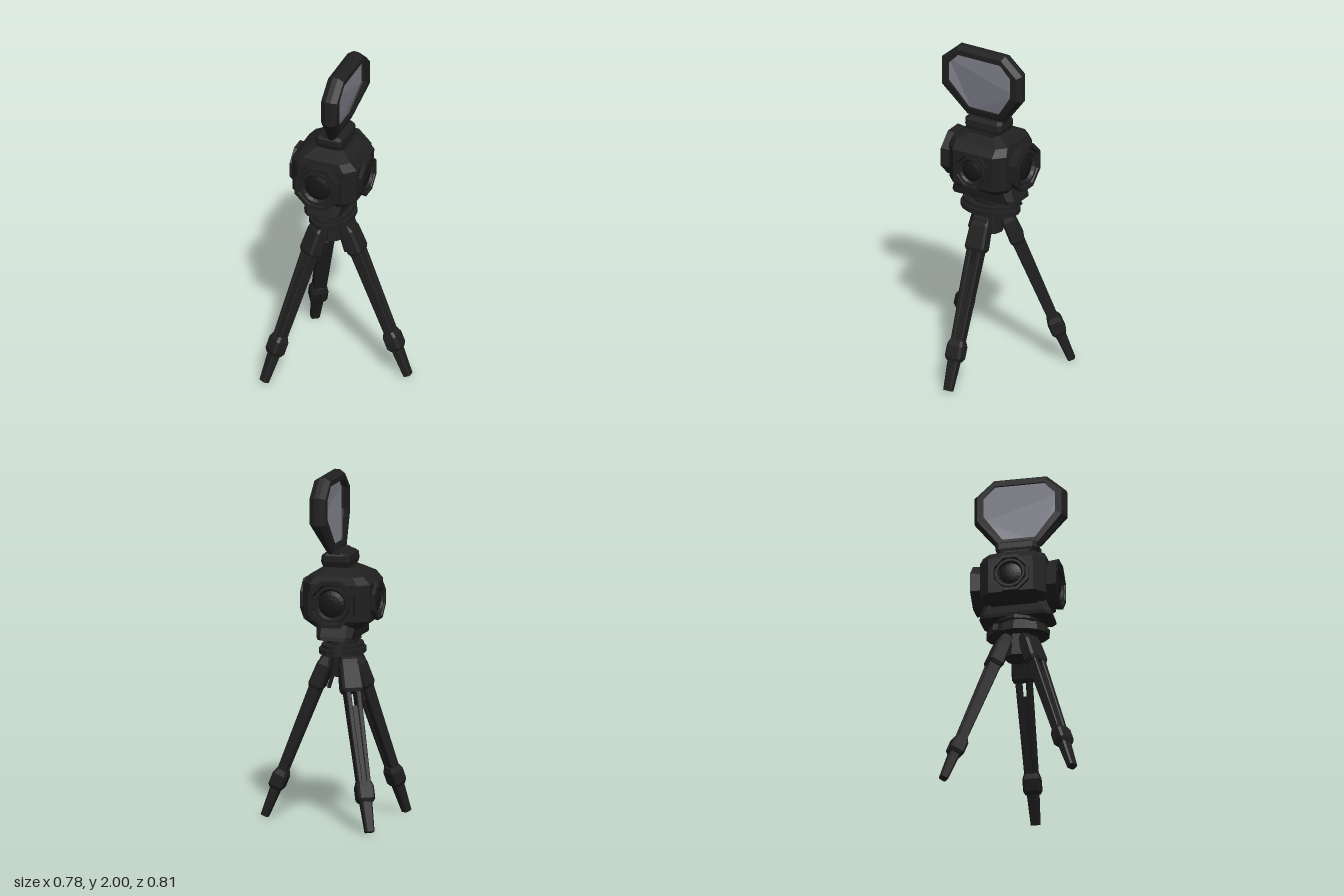
import * as THREE from 'three';

const mat = (name, color) => Object.assign(
  new THREE.MeshStandardMaterial({ color, flatShading: true, side: THREE.DoubleSide }), { name });

const CX = -0.09; // axis of the tripod and head

// Chamfered block lofted through levels of [y, half x, half z, chamfer]
function loft(levels) {
  const rings = levels.map(([y, a, b, c]) => [
    [a, b - c], [a - c, b], [c - a, b], [-a, b - c],
    [-a, c - b], [c - a, -b], [a - c, -b], [a, c - b],
  ].map(([x, z]) => [x, y, z]));
  const pos = [];
  const tri = (...pts) => pts.forEach(p => pos.push(...p));
  for (let k = 0; k < rings.length - 1; k++) {
    for (let i = 0; i < 8; i++) {
      const j = (i + 1) % 8, lo = rings[k], up = rings[k + 1];
      tri(lo[i], up[i], up[j]);
      tri(lo[i], up[j], lo[j]);
    }
  }
  const bottom = rings[0], top = rings[rings.length - 1];
  for (let i = 1; i < 7; i++) {
    tri(bottom[0], bottom[i], bottom[i + 1]);
    tri(top[0], top[i + 1], top[i]);
  }
  const g = new THREE.BufferGeometry();
  g.setAttribute('position', new THREE.Float32BufferAttribute(pos, 3));
  g.computeVertexNormals();
  return g;
}

// Eight-sided outline in (z, y), mirrored from its +z half
function outline(half, PathType) {
  const pts = [...half, ...half.slice().reverse().map(([z, y]) => [-z, y])];
  return new PathType(pts.map(p => new THREE.Vector2(...p)));
}

// Turn an extrusion to face x, then lean and thin its lower end
function leanPanel(g) {
  g.rotateY(-Math.PI / 2);
  const p = g.attributes.position;
  for (let i = 0; i < p.count; i++) {
    const t = THREE.MathUtils.clamp((1.75 - p.getY(i)) / 0.18, 0, 1);
    p.setX(i, p.getX(i) * (1 - 0.42 * t) - 0.012 - 0.04 * t);
  }
  g.computeVertexNormals();
  return g;
}

export function createModel() {
  const black = mat('black casing', 0x202021);
  const dark = mat('dark glass', 0x161618);
  const grey = mat('grey panel', 0x80808b);

  const model = new THREE.Group();
  model.name = 'tripodDevice';
  const add = (parent, name, g, m, x = 0, y = 0, z = 0) => {
    const mesh = new THREE.Mesh(g, m);
    mesh.name = name;
    mesh.position.set(x, y, z);
    parent.add(mesh);
    return mesh;
  };

  // Tripod legs
  [0, 2.19, -2.19].forEach((angle, i) => {
    const arm = new THREE.Group();
    arm.name = 'leg' + (i + 1);
    arm.position.set(CX, 0.93, 0);
    arm.rotation.y = angle;
    const leg = new THREE.Group();
    leg.name = 'legParts';
    leg.position.x = 0.09;
    leg.rotation.z = 0.383;
    arm.add(leg);
    model.add(arm);
    const hinge = add(leg, 'hingePin', new THREE.CylinderGeometry(0.035, 0.035, 0.09, 10), black);
    hinge.rotation.x = Math.PI / 2;
    add(leg, 'hingeBlock', loft([[-0.18, 0.035, 0.055, 0.012], [-0.16, 0.043, 0.063, 0.012],
      [-0.03, 0.04, 0.058, 0.012], [0.02, 0.025, 0.045, 0.01]]), black);
    for (const s of [-1, 1]) {
      const rail = add(leg, 'rail', loft([[-0.74, 0.027, 0.013, 0.005], [-0.15, 0.035, 0.015, 0.005]]),
        black, 0, 0, s * 0.032);
      rail.rotation.x = s * 0.01;
    }
    add(leg, 'innerTube', loft([[-0.74, 0.022, 0.026, 0.006], [-0.26, 0.024, 0.028, 0.006]]), black);
    add(leg, 'clamp', loft([[-0.82, 0.034, 0.04, 0.012], [-0.8, 0.043, 0.05, 0.012],
      [-0.73, 0.043, 0.05, 0.012], [-0.7, 0.032, 0.042, 0.012]]), black);
    add(leg, 'foot', loft([[-0.993, 0.022, 0.026, 0.008], [-0.8, 0.03, 0.034, 0.01]]), black);
  });

  // Hub, mounting plates and small side lever
  add(model, 'hub', new THREE.CylinderGeometry(0.06, 0.075, 0.14, 10), black, CX, 0.91);
  const plate = (name, r, h, y, zScale) =>
    add(model, name, new THREE.CylinderGeometry(r, r, h, 16), black, CX, y).scale.z = zScale;
  plate('lowerPlate', 0.13, 0.03, 0.99, 1.42);
  plate('swivelPlate', 0.115, 0.018, 1.02, 1.5);
  plate('swivelNeck', 0.085, 0.05, 1.045, 1.2);
  plate('upperPlate', 0.105, 0.022, 1.065, 1.15);
  const lever = new THREE.CatmullRomCurve3([[-0.07, 0.92, 0.02], [-0.03, 0.85, 0.02], [0, 0.76, 0.02]]
    .map(p => new THREE.Vector3(...p)));
  add(model, 'lever', new THREE.TubeGeometry(lever, 6, 0.012, 5), black);
  const tab = add(model, 'plateTab', new THREE.BoxGeometry(0.012, 0.06, 0.03), black, -0.23, 0.985, -0.1);
  tab.rotation.z = -0.5;

  // Head casing
  add(model, 'casingBase', loft([[1.07, 0.1, 0.21, 0.03], [1.09, 0.105, 0.205, 0.03],
    [1.16, 0.115, 0.18, 0.04]]), black, CX);
  add(model, 'casing', loft([[1.13, 0.13, 0.16, 0.05], [1.18, 0.195, 0.19, 0.06],
    [1.39, 0.2, 0.19, 0.06], [1.435, 0.16, 0.18, 0.05], [1.475, 0.09, 0.1, 0.03]]), black, CX);
  add(model, 'topNeck', loft([[1.46, 0.085, 0.08, 0.02], [1.5, 0.08, 0.1, 0.02]]), black, -0.075);
  add(model, 'topBlock', loft([[1.485, 0.08, 0.11, 0.02], [1.51, 0.085, 0.12, 0.02],
    [1.545, 0.08, 0.12, 0.02], [1.56, 0.06, 0.11, 0.02]]), black, -0.075);

  // Four lens housings around the casing
  const lathe = (pts, n, start = 0) => new THREE.LatheGeometry(
    pts.map(p => new THREE.Vector2(...p)), n, start).rotateX(Math.PI / 2);
  for (let k = 0; k < 4; k++) {
    const side = k % 2 === 1;
    const turn = new THREE.Group();
    turn.name = 'lensUnit' + (k + 1);
    turn.position.set(CX, 1.285, 0);
    turn.rotation.y = k * Math.PI / 2;
    model.add(turn);
    const unit = new THREE.Group();
    unit.name = 'lensParts';
    unit.position.z = side ? 0.222 : 0.25;
    unit.scale.setScalar(side ? 0.82 : 1);
    turn.add(unit);
    add(unit, 'lensHousing', lathe([[0.13, -0.1], [0.138, -0.05], [0.145, 0], [0.122, 0],
      [0.112, -0.025], [0, -0.025]], 8, Math.PI / 8), black);
    add(unit, 'lensRing', lathe([[0.108, -0.03], [0.105, -0.004], [0.09, -0.004], [0.078, -0.022]], 20), black);
    add(unit, 'lensGlass', lathe([[0.078, -0.022], [0.055, -0.012], [0.03, -0.007], [0, -0.005]], 16), dark);
  }

  // Hinge of the tilted screen
  const pin = add(model, 'screenHinge', new THREE.CylinderGeometry(0.038, 0.038, 0.23, 10), black, -0.08, 1.535);
  pin.rotation.x = Math.PI / 2;
  add(model, 'hingeTongue', loft([[1.53, 0.028, 0.11, 0.01], [1.6, 0.022, 0.11, 0.01]]), black, -0.058);

  // Screen frame and panel
  const shape = outline([[0.145, 1.98], [0.247, 1.89], [0.247, 1.745], [0.115, 1.575]], THREE.Shape);
  shape.holes.push(outline([[0.14, 1.95], [0.208, 1.88], [0.208, 1.765], [0.095, 1.605]], THREE.Path));
  const frame = new THREE.ExtrudeGeometry(shape, {
    depth: 0.03, bevelThickness: 0.033, bevelSize: 0.02, bevelSegments: 1,
  });
  frame.translate(0, 0, -0.015);
  // Carry the inner bevel back so the rim opens toward the panel
  add(model, 'screenFrame', leanPanel(frame), black);
  const panel = new THREE.ExtrudeGeometry(
    outline([[0.15, 1.965], [0.225, 1.89], [0.225, 1.755], [0.1, 1.585]], THREE.Shape),
    { depth: 0.008, bevelEnabled: false });
  panel.translate(0, 0, -0.004);
  add(model, 'screenPanel', leanPanel(panel), grey);

  return model;
}
